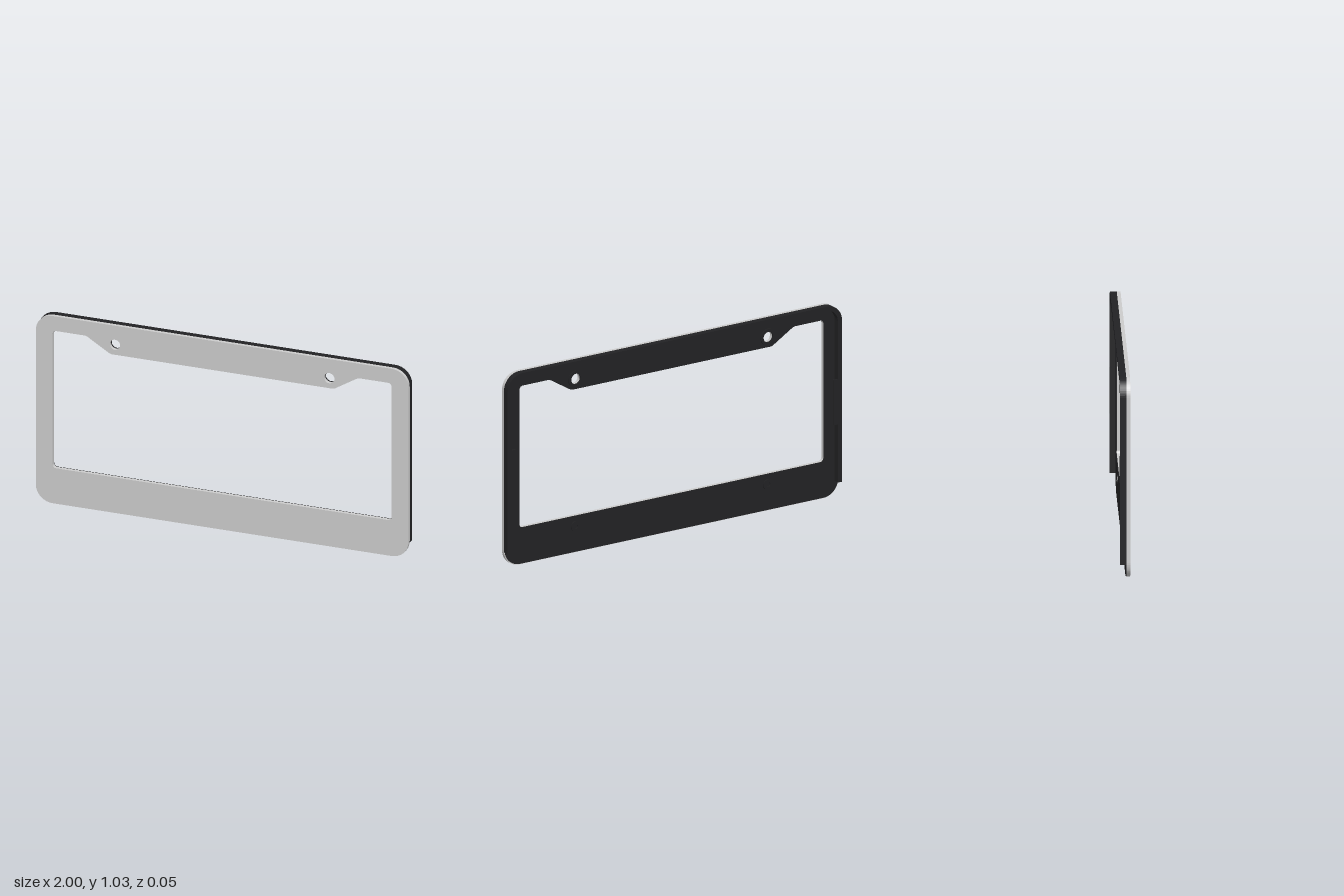
import * as THREE from 'three';

const HEIGHT = 1.03;
const HOLE_X = 0.575, HOLE_Y = 0.925, HOLE_R = 0.028;

// Closed outline with rounded corners; each point is [x, y, radius]
function rounded(points, Type) {
  const path = new Type();
  const n = points.length;
  points.forEach(([x, y, r], i) => {
    const p = new THREE.Vector2(x, y);
    const toward = ([a, b]) => p.clone().add(new THREE.Vector2(a - x, b - y).setLength(r));
    const a = toward(points[(i + n - 1) % n]);
    const b = toward(points[(i + 1) % n]);
    if (i === 0) path.moveTo(a.x, a.y);
    else path.lineTo(a.x, a.y);
    if (r > 0) {
      // Cubic corner approximating a quarter circle
      const c1 = a.clone().lerp(p, 0.552), c2 = b.clone().lerp(p, 0.552);
      path.bezierCurveTo(c1.x, c1.y, c2.x, c2.y, b.x, b.y);
    }
  });
  path.closePath();
  return path;
}

function circle(x, y, r) {
  return new THREE.Path().absarc(x, y, r, 0, Math.PI * 2, true);
}

// Frame face with window and two upper bolt holes
function frameShape(inset) {
  const o = 1 - inset;
  const shape = rounded([
    [-o, inset, 0.09], [o, inset, 0.09],
    [o, HEIGHT - inset, 0.09], [-o, HEIGHT - inset, 0.09],
  ], THREE.Shape);
  shape.holes.push(rounded([
    [-0.91, 0.195, 0.02], [-0.91, 0.95, 0.02], [-0.73, 0.95, 0.01], [-0.6, 0.87, 0.01],
    [0.6, 0.87, 0.01], [0.73, 0.95, 0.01], [0.91, 0.95, 0.02], [0.91, 0.195, 0.02],
  ], THREE.Path));
  for (const s of [-1, 1]) shape.holes.push(circle(s * HOLE_X, HOLE_Y, HOLE_R));
  return shape;
}

export function createModel() {
  const group = new THREE.Group();
  const grey = new THREE.MeshStandardMaterial({ color: 0xcccccc });
  const black = new THREE.MeshStandardMaterial({ color: 0x222224 });

  function extrude(name, shape, z0, z1, material) {
    const geometry = new THREE.ExtrudeGeometry(shape, {
      depth: z1 - z0, bevelEnabled: false, curveSegments: 12,
    });
    const mesh = new THREE.Mesh(geometry, material);
    mesh.name = name;
    mesh.position.z = z0;
    group.add(mesh);
  }

  // Face plate and its dark backing
  extrude('facePlate', frameShape(0), 0.008, 0.027, grey);
  extrude('backing', frameShape(0.003), 0.004, 0.008, black);

  // Rear rim along the top and both sides, open at the bottom
  const t = 0.025;
  extrude('rearRim', rounded([
    [-1, 0.08, 0], [-1 + t, 0.08, 0], [-1 + t, HEIGHT - t, 0.065], [1 - t, HEIGHT - t, 0.065],
    [1 - t, 0.08, 0], [1, 0.08, 0], [1, HEIGHT, 0.09], [-1, HEIGHT, 0.09],
  ], THREE.Shape), -0.026, 0.008, black);

  for (const s of [-1, 1]) {
    // Lip on the side rim that holds the inserted plate
    const lip = new THREE.Mesh(new THREE.BoxGeometry(0.03, 0.24, 0.008), black);
    lip.name = 'retainingLip';
    lip.position.set(s * (1 - t - 0.01), 0.51, -0.022);
    group.add(lip);

    // Raised rings around the bolt positions
    for (const [name, y, hole] of [['upperBoss', HOLE_Y, HOLE_R], ['lowerBoss', 0.14, 0.012]]) {
      const ring = new THREE.Shape().absarc(s * HOLE_X, y, hole + 0.016, 0, Math.PI * 2, false);
      ring.holes.push(circle(s * HOLE_X, y, hole));
      extrude(name, ring, -0.001, 0.004, black);
    }
  }
  return group;
}
